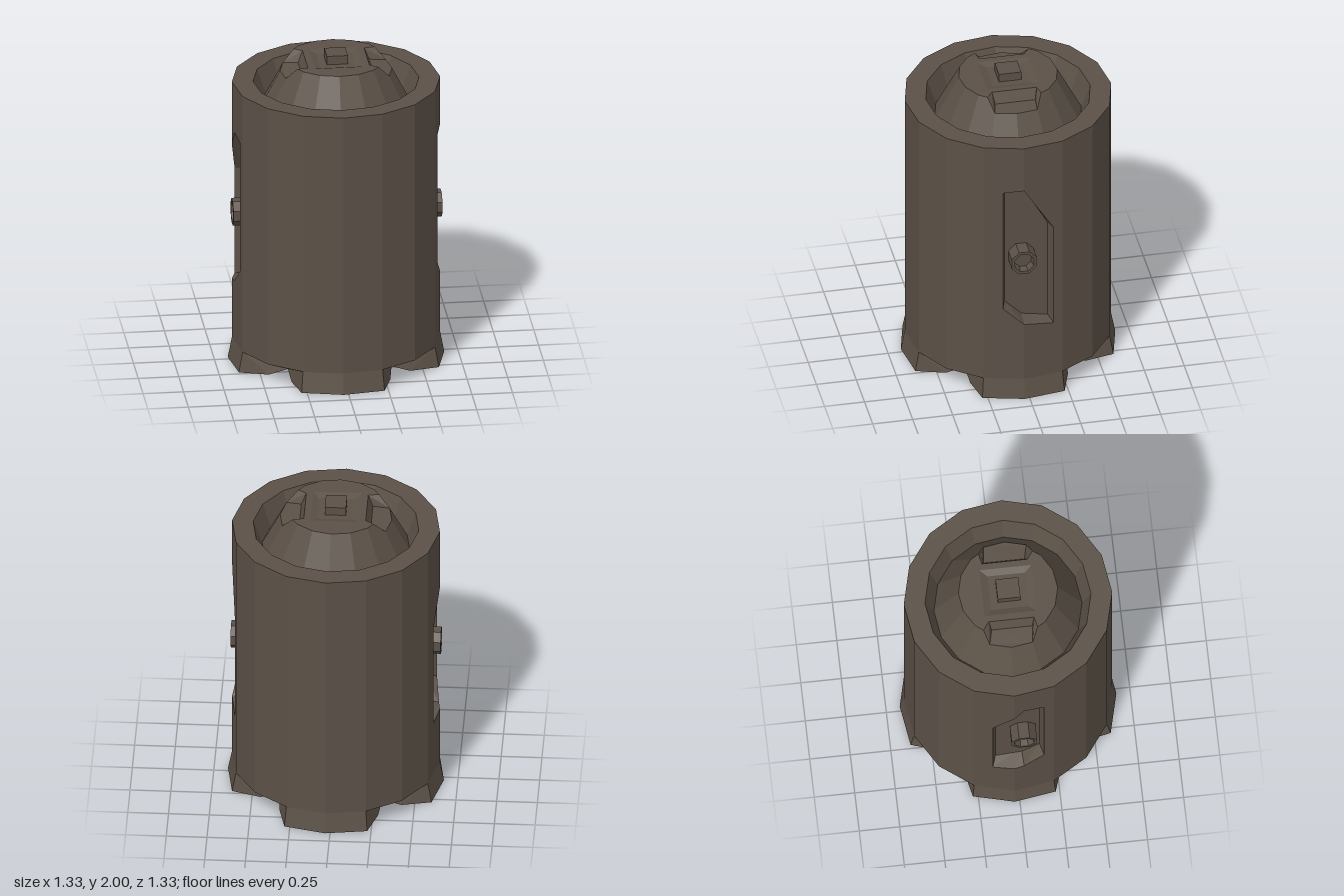
import * as THREE from 'three';

const SIDES = 16, R = 0.64, TOP = 1.82, FOOT = 0.13;
const OFF = Math.asin(0.03 / R);
const V = (x, y, z) => new THREE.Vector3(x, y, z);
// Point on the ring: j counts sixteenths of a turn, starting near +x
const P = (j, r, y) => {
  const a = OFF + j * Math.PI * 2 / SIDES;
  return V(r * Math.cos(a), y, r * Math.sin(a));
};
const DOWN = V(0, -1, 0), UP = V(0, 1, 0);

// Collects flat polygons into one mesh; each is turned to face its hint
function makePart(name, material) {
  const pos = [];
  const face = (pts, hint, hole = []) => {
    const n = V(0, 0, 0);
    pts.forEach((p, i) => n.add(p.clone().cross(pts[(i + 1) % pts.length])));
    const ax = Math.abs(n.x), ay = Math.abs(n.y), az = Math.abs(n.z);
    const flat = p => ax >= ay && ax >= az ? new THREE.Vector2(p.y, p.z)
      : ay >= az ? new THREE.Vector2(p.x, p.z) : new THREE.Vector2(p.x, p.y);
    const all = [...pts, ...hole];
    const tris = THREE.ShapeUtils.triangulateShape(pts.map(flat), hole.length ? [hole.map(flat)] : []);
    for (const [a, b, c] of tris) {
      const t = [all[a], all[b], all[c]];
      const tn = t[1].clone().sub(t[0]).cross(t[2].clone().sub(t[0]));
      if (tn.dot(hint) < 0) t.reverse();
      t.forEach(p => pos.push(p.x, p.y, p.z));
    }
  };
  const build = () => {
    const g = new THREE.BufferGeometry();
    g.setAttribute('position', new THREE.Float32BufferAttribute(pos, 3));
    g.computeVertexNormals();
    const mesh = new THREE.Mesh(g, material);
    mesh.name = name;
    return mesh;
  };
  return { face, build };
}

// Upper and lower outline of the side recess, as [z, y]
const recessTop = [[0.155, 1.49], [0.03, 1.51], [-0.03, 1.41], [-0.16, 1.2]];
const recessLow = [[0.155, 0.64], [0.03, 0.53], [-0.03, 0.52], [-0.16, 0.5]];

// Point of the shell wall at height y and depth z, on side s
function onShell(s, z, y) {
  const k = s > 0 ? 0 : 8, c = P(k, R, y);
  const n = P(k + (z >= c.z ? s : -s), R, y);
  return c.lerp(n, (z - c.z) / (n.z - c.z));
}

function buildShell(mat) {
  const { face, build } = makePart('outerShell', mat);
  for (let j = 0; j < SIDES; j++) {
    const out = P(j + 0.5, 1, 0);
    const next = j === 0 || j === 7 || j === 8 || j === 15;
    if (!next) {
      face([P(j, R, FOOT), P(j + 1, R, FOOT), P(j + 1, R, TOP), P(j, R, TOP)], out);
    } else {
      // Panel with the recess cut out of its crease edge
      const s = j === 0 || j === 15 ? 1 : -1, k = s > 0 ? 0 : 8;
      const n = j === k ? k + 1 : k - 1;
      const plus = P(n, R, 0).z > 0;
      const keep = ([z]) => plus ? z >= s * 0.03 - 1e-6 : z <= s * 0.03 + 1e-6;
      const a = recessTop.filter(keep), b = recessLow.filter(keep);
      (plus ? a : b).reverse();
      face([P(k, R, FOOT), P(n, R, FOOT), P(n, R, TOP), P(k, R, TOP),
        ...[...a, ...b].map(([z, y]) => onShell(s, z, y))], out);
    }
    // Rim and its inner wall
    face([P(j, R, TOP), P(j + 1, R, TOP), P(j + 1, 0.51, TOP), P(j, 0.51, TOP)], UP);
    face([P(j, 0.51, TOP), P(j + 1, 0.51, TOP), P(j + 1, 0.455, 1.67), P(j, 0.455, 1.67)], out.clone().negate());
  }
  return build();
}

function buildRecess(s, mat) {
  const { face, build } = makePart(s > 0 ? 'leftRecess' : 'rightRecess', mat);
  const outline = [...recessTop, ...recessLow.slice().reverse()];
  const outer = outline.map(([z, y]) => onShell(s, z, y));
  const inner = outline.map(([z, y]) => V(s * 0.54, 1 + (y - 1) * 0.96, z * 0.86));
  outer.forEach((p, i) => {
    const k = (i + 1) % outer.length;
    const mid = p.clone().add(outer[k]).multiplyScalar(0.5);
    const hint = V(0, (1 - mid.y) * 0.3, -mid.z);
    // Split each wall into two triangles
    face([p, outer[k], inner[k]], hint);
    face([p, inner[k], inner[i]], hint);
  });
  face(inner, V(s, 0, 0));
  return build();
}

function buildBase(mat) {
  const { face, build } = makePart('baseFeet', mat);
  const plate = [];
  for (let q = 0; q < 4; q++) {
    const Q = (j, r, y) => P(j + q * 4, r, y);
    const F = 0.665, apex = Q(2, 0.45, 0.04), apexB = Q(-2, 0.45, 0.04);
    const corner = Q(1.55, 0.53, 0), cornerB = Q(-1.55, 0.53, 0);
    const mid = Q(0, 0.5, 0), plateMid = Q(0, 0.45, 0.04);
    // Flared foot front
    for (const j of [-1, 0])
      face([Q(j, R, FOOT), Q(j + 1, R, FOOT), Q(j + 1, F, 0), Q(j, F, 0)], Q(j + 0.5, 1, 0));
    // Foot sole
    face([Q(-1, F, 0), Q(0, F, 0), Q(1, F, 0), corner, mid, cornerB], DOWN);
    // Foot flanks and chamfer towards the bottom plate
    for (const [e, c, a] of [[1, corner, apex], [-1, cornerB, apexB]]) {
      const hint = Q(e * 4, 1, -0.2);
      face([Q(e, R, FOOT), Q(e, F, 0), c], hint);
      face([Q(e, R, FOOT), c, a], hint);
      face([c, mid, plateMid], DOWN);
      face([c, plateMid, a], DOWN);
    }
    // Sloping ceiling of the gap between feet
    face([Q(1, R, FOOT), Q(2, R, FOOT), apex], DOWN);
    face([Q(2, R, FOOT), Q(3, R, FOOT), apex], DOWN);
    plate.push(plateMid, apex);
  }
  face(plate, DOWN);
  return build();
}

function buildDome(mat) {
  const { face, build } = makePart('domeLid', mat);
  const H = 1.96;
  const b = j => P(j, 0.455, 1.67), t = j => P(j, 0.305, H), lip = j => P(j, 0.344, 1.885);
  const M = (i, j) => t(i).lerp(t(j), 0.5);
  const cap = [];
  for (let j = 0; j < SIDES; j++) {
    const m = ((j + 4) % 8) - 4, out = P(j + 0.5, 1, 0.5);
    if (m === 0 || m === -1) face([b(j), b(j + 1), lip(j + 1), lip(j)], out);
    else if (m === 1) face([b(j), b(j + 1), t(j + 1), M(j, j + 1), lip(j)], out);
    else if (m === -2) face([b(j), b(j + 1), lip(j + 1), M(j, j + 1), t(j)], out);
    else face([b(j), b(j + 1), t(j + 1), t(j)], out);

    if (Math.abs(m) >= 2) cap.push(t(j));
    if (m === 0) {
      // Grip pocket cut into the lid edge
      const s = j === 0 ? 1 : -1;
      const mA = M(j - 1, j - 2), mB = M(j + 1, j + 2);
      const iA = V(s * 0.19, H, -0.14 * s), iB = V(s * 0.19, H, 0.14 * s);
      const fA = V(s * 0.22, 1.89, -0.125 * s), fB = V(s * 0.22, 1.89, 0.125 * s);
      cap.push(mA, iA, iB, mB);
      face([lip(j - 1), lip(j), lip(j + 1), fB, fA], UP);
      face([iA, iB, fB, fA], V(s, 0.2, 0));
      for (const [l, f, i, mm, d] of [[lip(j - 1), fA, iA, mA, s], [lip(j + 1), fB, iB, mB, -s]]) {
        face([l, f, i], V(0, 0.3, d));
        face([l, i, mm], V(0, 0.3, d));
      }
    }
  }
  // Shallow square well in the lid centre
  const square = (x, z, y) => [V(-x, y, -z), V(x, y, -z), V(x, y, z), V(-x, y, z)];
  const rim = square(0.15, 0.16, H), well = square(0.11, 0.115, 1.945);
  face(cap, UP, rim);
  rim.forEach((p, i) => face([p, rim[(i + 1) % 4], well[(i + 1) % 4], well[i]], UP));
  face(well, UP);
  return build();
}

export function createModel() {
  const group = new THREE.Group();
  group.name = 'canister';
  const metal = new THREE.MeshStandardMaterial({ color: 0x5b5147, flatShading: true });
  metal.name = 'darkBrownMetal';

  group.add(buildShell(metal), buildBase(metal), buildDome(metal));

  const cap = new THREE.Mesh(new THREE.BoxGeometry(0.13, 0.06, 0.14), metal);
  cap.name = 'lidKnob';
  cap.position.y = 1.97;
  group.add(cap);

  // Hollow eight-sided bolts in the side recesses
  const profile = [[0.085, 0], [0.085, 0.115], [0.065, 0.115], [0.055, 0.07], [0, 0.07]]
    .map(([x, y]) => new THREE.Vector2(x, y));
  for (const s of [1, -1]) {
    group.add(buildRecess(s, metal));
    const bolt = new THREE.Mesh(new THREE.LatheGeometry(profile, 8, Math.PI / 8), metal);
    bolt.name = s > 0 ? 'leftBolt' : 'rightBolt';
    bolt.rotation.z = -s * Math.PI / 2;
    bolt.position.set(s * 0.53, 0.985, 0.03);
    group.add(bolt);
  }
  return group;
}
